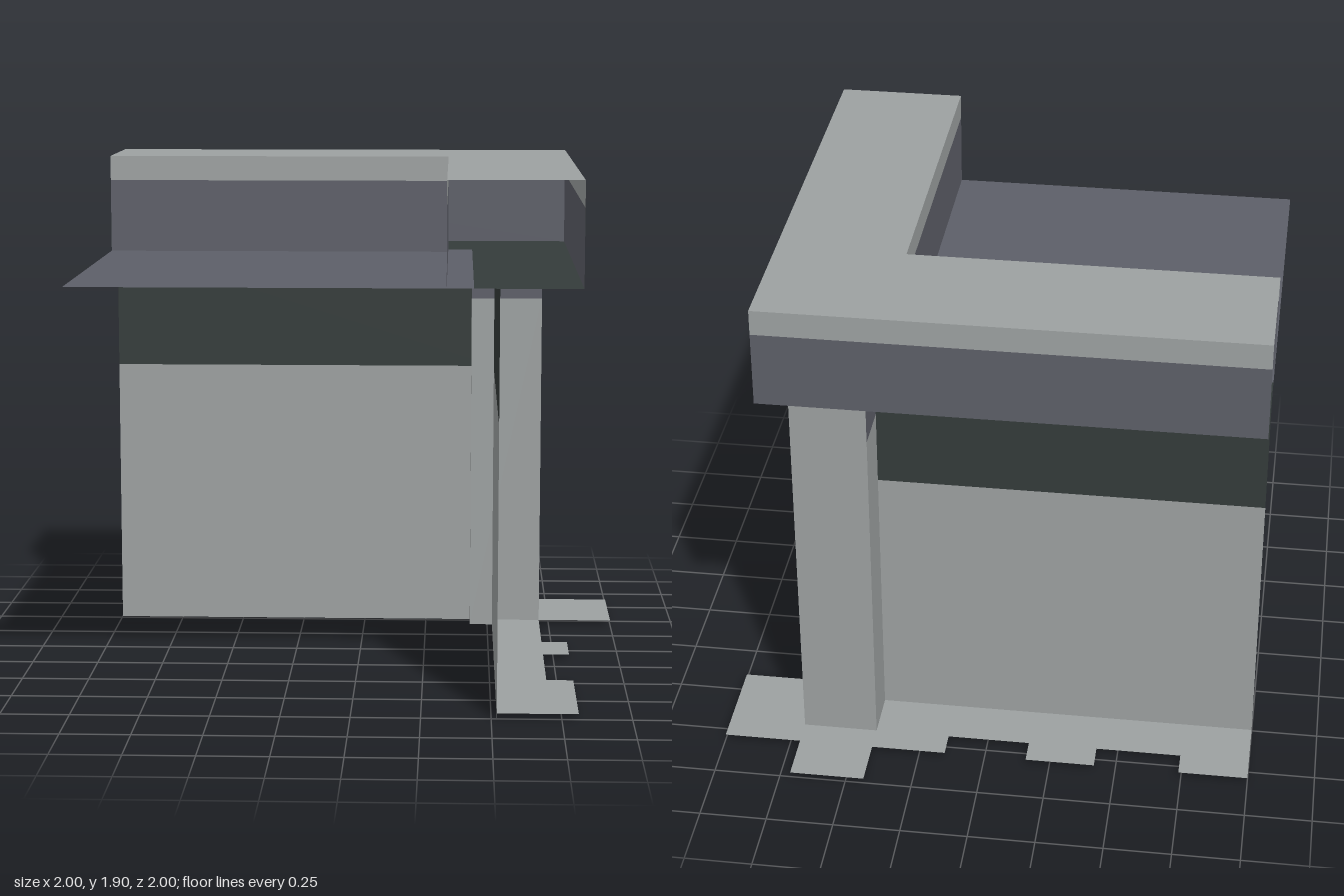
import * as THREE from 'three';

const makeMat = (name, color) => {
  const m = new THREE.MeshStandardMaterial({ color, side: THREE.DoubleSide });
  m.name = name;
  return m;
};

export function createModel() {
  const model = new THREE.Group();
  model.name = 'buildingCorner';
  const grey = makeMat('concreteGrey', 0x9da1a1);
  const slate = makeMat('slateGrey', 0x5d5f68);
  const dark = makeMat('darkGreen', 0x343b3a);

  const add = (name, geometry, material) => {
    const mesh = new THREE.Mesh(geometry, material);
    mesh.name = name;
    model.add(mesh);
    return mesh;
  };

  // Upright sheet between two plan points [x, z]
  const sheet = (name, a, b, y0, y1, material) => {
    const dx = b[0] - a[0], dz = b[1] - a[1];
    const mesh = add(name, new THREE.PlaneGeometry(Math.hypot(dx, dz), y1 - y0), material);
    mesh.position.set((a[0] + b[0]) / 2, (y0 + y1) / 2, (a[1] + b[1]) / 2);
    mesh.rotation.y = Math.atan2(-dz, dx);
  };

  // Level sheet with a plan outline of [x, z] points and an optional hole
  const slab = (name, points, y, material, hole) => {
    const to2 = (list) => list.map(([x, z]) => new THREE.Vector2(x, -z));
    const shape = new THREE.Shape(to2(points));
    if (hole) shape.holes.push(new THREE.Path(to2(hole)));
    const geometry = new THREE.ShapeGeometry(shape).rotateX(-Math.PI / 2);
    add(name, geometry, material).position.y = y;
  };

  // L-shaped plan running along the back and the +x side
  const ell = (inner, outer) => [
    [-1, -outer], [outer, -outer], [outer, 1], [inner, 1], [inner, -inner], [-1, -inner],
  ];

  // Two sheets meeting at the corner (r, -r)
  const cornerSheets = (name, r, y0, y1, material) => {
    sheet(name + 'Back', [r, -r], [-1, -r], y0, y1, material);
    sheet(name + 'Side', [r, 1], [r, -r], y0, y1, material);
  };

  // Walls with a dark upper band
  cornerSheets('wall', 0.52, 0, 1.05, grey);
  cornerSheets('wallBand', 0.52, 1.05, 1.53, dark);

  // Hollow parapet with open ends
  const inner = 0.335, outer = 0.81;
  for (const [label, r] of [['parapetOuter', outer], ['parapetInner', inner]]) {
    cornerSheets(label, r, 1.53, 1.81, slate);
    cornerSheets(label + 'Trim', r, 1.81, 1.905, grey);
  }
  slab('parapetTop', ell(inner, outer), 1.905, grey);
  slab('soffit', ell(0.43, outer), 1.53, dark);

  // Flat roof
  slab('roof', [[-1, -0.43], [0.43, -0.43], [0.43, 1], [-1, 1]], 1.53, slate);

  // Hollow corner pillar, slate at the top of its inward faces
  const p = 0.43, q = 0.71;
  sheet('pillarBack', [q, -q], [p, -q], 0, 1.53, grey);
  sheet('pillarSide', [q, -p], [q, -q], 0, 1.53, grey);
  for (const [label, a, b] of [
    ['pillarFront', [p, -p], [q, -p]],
    ['pillarInner', [p, -q], [p, -p]],
  ]) {
    sheet(label, a, b, 0, 1.335, grey);
    sheet(label + 'Top', a, b, 1.335, 1.53, slate);
  }

  // Notched paving around the foot of the walls
  slab('paving', [
    [-1, -0.81], [-0.74, -0.81], [-0.74, -q], [-0.42, -q], [-0.42, -0.81],
    [-0.16, -0.81], [-0.16, -q], [0.15, -q], [0.15, -0.81],
    [p, -0.81], [p, -1], [q, -1], [q, -0.81],
    [1, -0.81], [1, -p], [q, -p], [q, -0.06], [0.81, -0.06],
    [0.81, 0.14], [q, 0.14], [q, 0.53], [0.81, 0.53], [0.81, 1],
    [0.52, 1], [0.52, -p], [p, -p], [p, -0.52], [-1, -0.52],
  ], 0.02, grey);

  return model;
}
